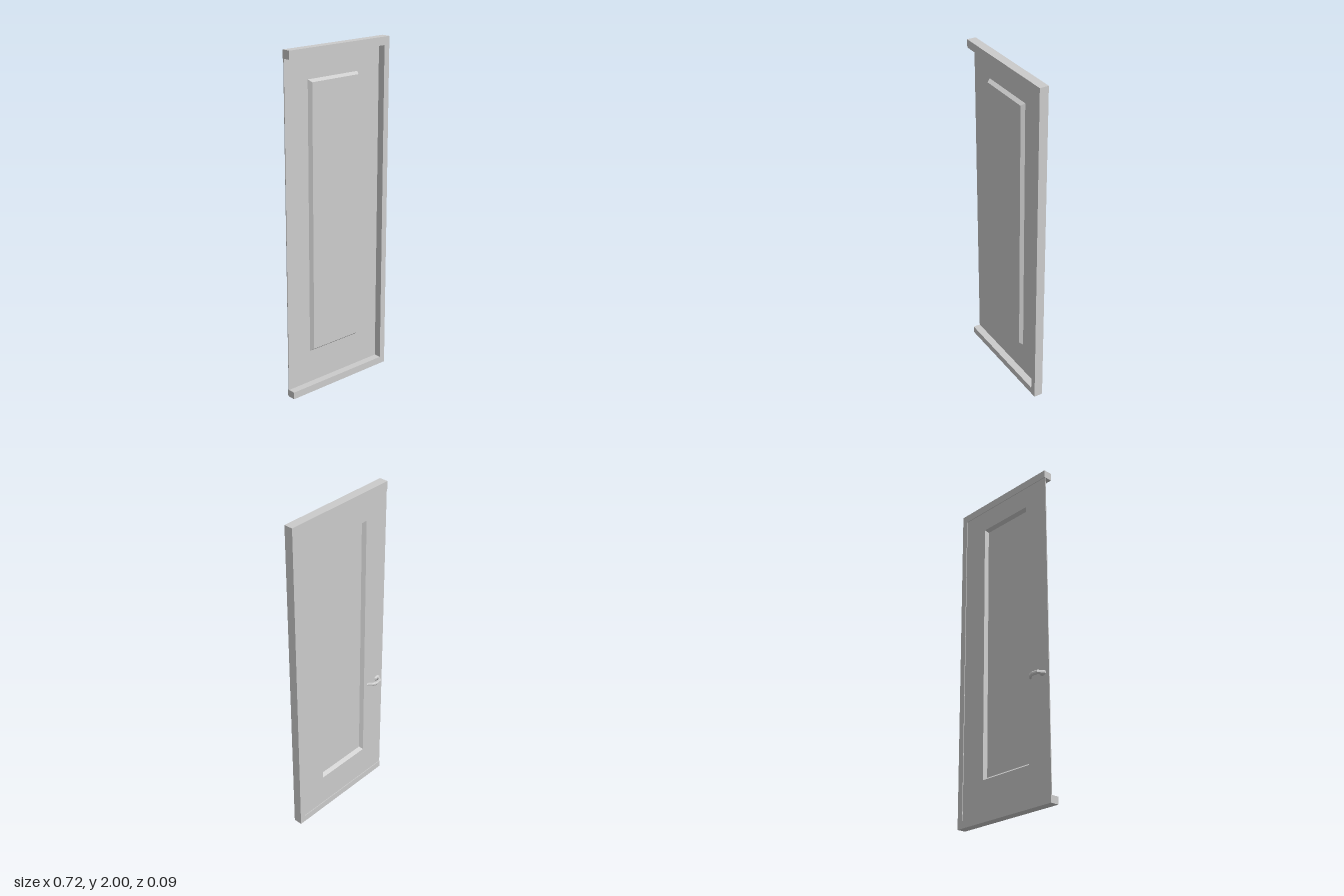
import * as THREE from 'three';

const material = new THREE.MeshStandardMaterial({ color: 0xcccccc, flatShading: true });

// Skin a closed surface over equal-length rings of [x, y, z] points.
function loft(rings) {
  const n = rings[0].length;
  const index = [];
  for (let r = 0; r < rings.length - 1; r++) {
    for (let i = 0; i < n; i++) {
      const j = (i + 1) % n;
      const a = r * n + i, b = a + n, c = (r + 1) * n + j, d = r * n + j;
      index.push(a, b, c, a, c, d);
    }
  }
  const geometry = new THREE.BufferGeometry();
  geometry.setAttribute('position', new THREE.Float32BufferAttribute(rings.flat(2), 3));
  geometry.setIndex(index);
  const flat = geometry.toNonIndexed();
  flat.computeVertexNormals();
  return flat;
}

function addMesh(group, name, geometry) {
  const mesh = new THREE.Mesh(geometry, material);
  mesh.name = name;
  group.add(mesh);
  return mesh;
}

const rect = (x0, x1, y0, y1, z) => [[x0, y0, z], [x1, y0, z], [x1, y1, z], [x0, y1, z]];

export function createModel() {
  const group = new THREE.Group();
  group.name = 'cabinetDoor';

  // Three-sided frame, open on the handle side
  const outline = [
    [-0.36, 0], [0.36, 0], [0.36, 2], [-0.36, 2],
    [-0.36, 1.953], [0.323, 1.953], [0.323, 0.042], [-0.36, 0.042],
  ].map(([x, y]) => new THREE.Vector2(x, y));
  const frame = new THREE.ExtrudeGeometry(new THREE.Shape(outline), { depth: 0.053, bevelEnabled: false });
  addMesh(group, 'frame', frame.translate(0, 0, -0.007));

  // Thin sheet set near the back, its middle pressed toward the front with sloping sides
  const front = 0.002, back = -0.003, press = 0.021;
  const middle = (z) => rect(-0.02, -0.02, 1.03, 1.03, z);
  const field = (z) => rect(-0.186, 0.148, 0.254, 1.81, z);
  const slope = (z) => rect(-0.2, 0.16, 0.238, 1.824, z);
  const edge = (z) => rect(-0.36, 0.323, 0.042, 1.953, z);
  addMesh(group, 'panel', loft([
    middle(front + press), field(front + press), slope(front), edge(front),
    edge(back), slope(back), field(back + press), middle(back + press),
  ]));

  // Arched handle: outer x, z, inner x, z and half height of each section
  const sections = [
    [-0.336, -0.003, -0.293, -0.003, 0.016],
    [-0.328, -0.015, -0.305, -0.014, 0.012],
    [-0.31, -0.043, -0.302, -0.027, 0.011],
    [-0.271, -0.047, -0.271, -0.031, 0.011],
    [-0.24, -0.035, -0.249, -0.022, 0.011],
    [-0.216, -0.011, -0.234, -0.005, 0.01],
  ];
  const sides = 8;
  const ring = ([ox, oz, ix, iz, h], scale = 1) => Array.from({ length: sides }, (_, i) => {
    const angle = ((i + 0.5) / sides) * Math.PI * 2;
    const c = (Math.cos(angle) / Math.cos(Math.PI / sides)) * 0.5 * scale;
    const s = (Math.sin(angle) / Math.cos(Math.PI / sides)) * scale;
    return [(ox + ix) / 2 + (ix - ox) * c, s * h, (oz + iz) / 2 + (iz - oz) * c];
  });
  const handle = addMesh(group, 'handle', loft([
    ring(sections[0], 0),
    ...sections.map((section) => ring(section)),
    ring(sections[sections.length - 1], 0),
  ]));
  handle.position.y = 0.726;

  return group;
}
